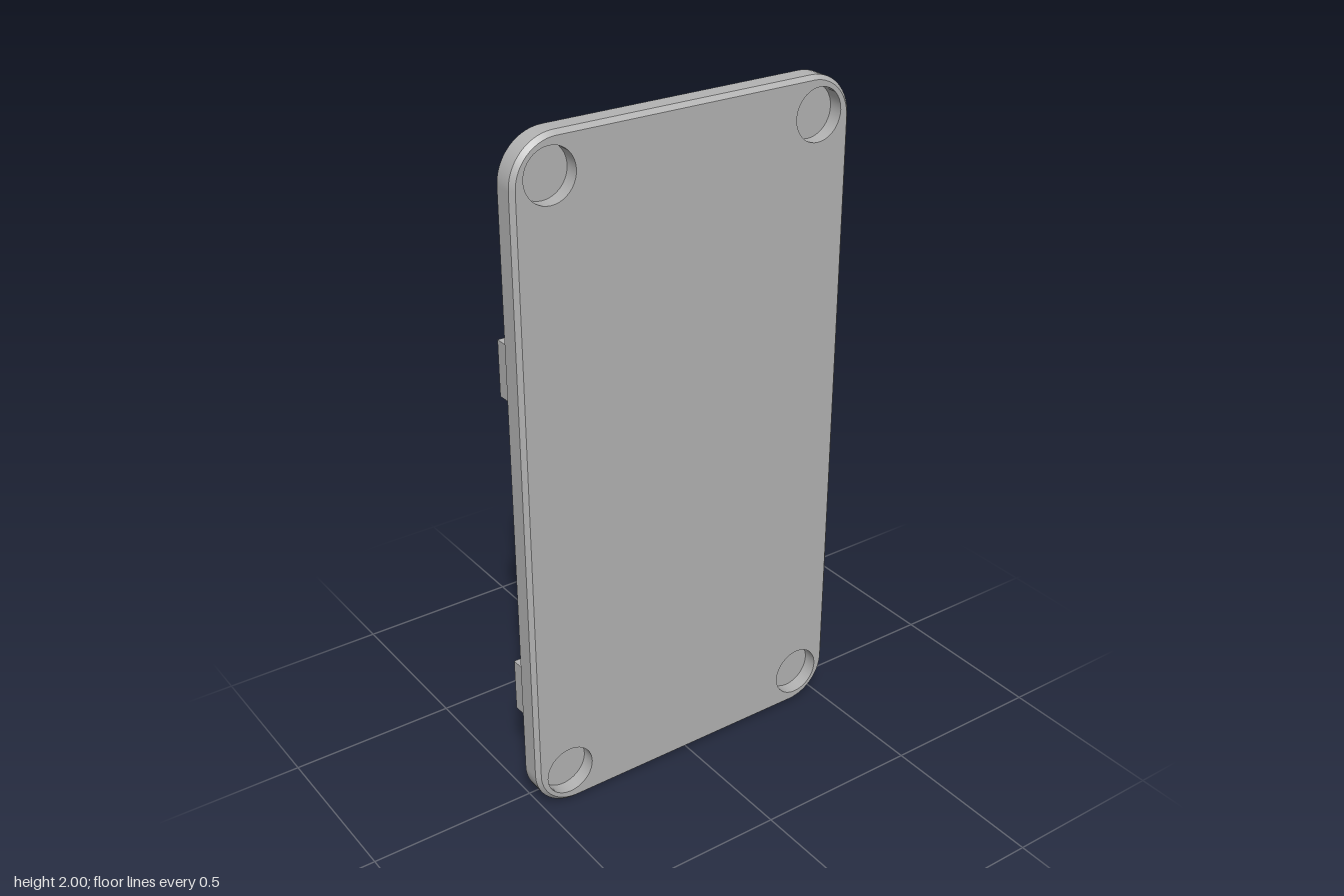
import * as THREE from 'three';

const HALF_W = 0.525, HALF_H = 1, CORNER = 0.13, CHAMFER = 0.012;
const Z_BACK = 0.03, Z_FRONT = 0.095, Z_CLIP = -0.095;
const HOLE_X = 0.416, HOLE_Y = 0.892;

// Rounded rectangle, counter-clockwise, drawn inward by "inset"
function outline(inset) {
  const pts = [], r = CORNER - inset;
  [[1, 1], [-1, 1], [-1, -1], [1, -1]].forEach(([sx, sy], q) => {
    for (let i = 0; i <= 14; i++) {
      const a = (q + i / 14) * Math.PI / 2;
      pts.push(new THREE.Vector2(
        sx * (HALF_W - CORNER) + r * Math.cos(a),
        sy * (HALF_H - CORNER) + r * Math.sin(a)));
    }
  });
  return pts;
}

function circle(cx, cy, r) {
  return Array.from({ length: 40 }, (_, i) => {
    const a = i / 40 * Math.PI * 2;
    return new THREE.Vector2(cx + r * Math.cos(a), cy + r * Math.sin(a));
  });
}

// Closed wall between two rings; faces outward when zA < zB, inward otherwise
function wall(ringA, zA, ringB, zB) {
  const n = ringA.length, pos = [], index = [];
  ringA.forEach(p => pos.push(p.x, p.y, zA));
  ringB.forEach(p => pos.push(p.x, p.y, zB));
  for (let i = 0; i < n; i++) {
    const j = (i + 1) % n;
    index.push(i, j, n + j, i, n + j, n + i);
  }
  const g = new THREE.BufferGeometry();
  g.setAttribute('position', new THREE.Float32BufferAttribute(pos, 3));
  g.setIndex(index);
  g.computeVertexNormals();
  return g;
}

const corners = [[1, 1], [-1, 1], [-1, -1], [1, -1]];

// Flat plate face with four round openings
function face(inset, holeR) {
  const shape = new THREE.Shape(outline(inset));
  for (const [sx, sy] of corners)
    shape.holes.push(new THREE.Path(circle(sx * HOLE_X, sy * HOLE_Y, holeR)));
  return new THREE.ShapeGeometry(shape);
}

export function createModel() {
  const grey = new THREE.MeshStandardMaterial({ color: 0xb2b2b2 });
  grey.name = 'grey plastic';
  const model = new THREE.Group();
  model.name = 'mountingPlate';
  const add = (name, geometry, parent) => {
    const mesh = new THREE.Mesh(geometry, grey);
    mesh.name = name;
    parent.add(mesh);
    return mesh;
  };

  // Plate: straight rim, chamfered front edge, front and back faces
  const plate = new THREE.Group();
  plate.name = 'plate';
  plate.position.y = HALF_H;
  model.add(plate);
  const full = outline(0), small = outline(CHAMFER);
  add('rim', wall(full, Z_BACK, full, Z_FRONT - CHAMFER), plate);
  add('frontChamfer', wall(full, Z_FRONT - CHAMFER, small, Z_FRONT), plate);
  add('frontFace', face(CHAMFER, 0.075).translate(0, 0, Z_FRONT), plate);
  add('backFace', face(0, 0.04).rotateY(Math.PI).translate(0, 0, Z_BACK), plate);

  // Blind round pockets: wide ones in front, narrow ones behind
  for (const [sx, sy] of corners) {
    const x = sx * HOLE_X, y = sy * HOLE_Y;
    const wide = circle(x, y, 0.075), narrow = circle(x, y, 0.04);
    const frontFloor = Z_FRONT - 0.042, backFloor = Z_BACK + 0.019;
    add('frontPocketWall', wall(wide, Z_FRONT, wide, frontFloor), plate);
    add('frontPocketFloor', new THREE.CircleGeometry(0.075, 40).translate(x, y, frontFloor), plate);
    add('backPocketWall', wall(narrow, backFloor, narrow, Z_BACK), plate);
    add('backPocketFloor',
      new THREE.CircleGeometry(0.04, 40).rotateY(Math.PI).translate(x, y, backFloor), plate);
  }

  // Corner holders: solid block with a raised L-shaped lip on the outer sides
  const size = 0.163, lip = 0.027, inner = size - lip;
  const depth = Z_BACK - Z_CLIP, blockDepth = depth - 0.038;
  for (const [sx, sy] of corners) {
    const holder = new THREE.Group();
    holder.name = 'cornerHolder';
    holder.position.set(sx * 0.3935, 0.825 + sy * 0.503, Z_BACK);
    model.add(holder);
    const box = (name, w, h, d, x, y) =>
      add(name, new THREE.BoxGeometry(w, h, d), holder).position.set(sx * x, sy * y, -d / 2);
    box('sideLip', lip, size, depth, inner / 2, 0);
    box('endLip', inner, lip, depth, -lip / 2, inner / 2);
    box('block', inner, inner, blockDepth, -lip / 2, -lip / 2);
  }
  return model;
}
